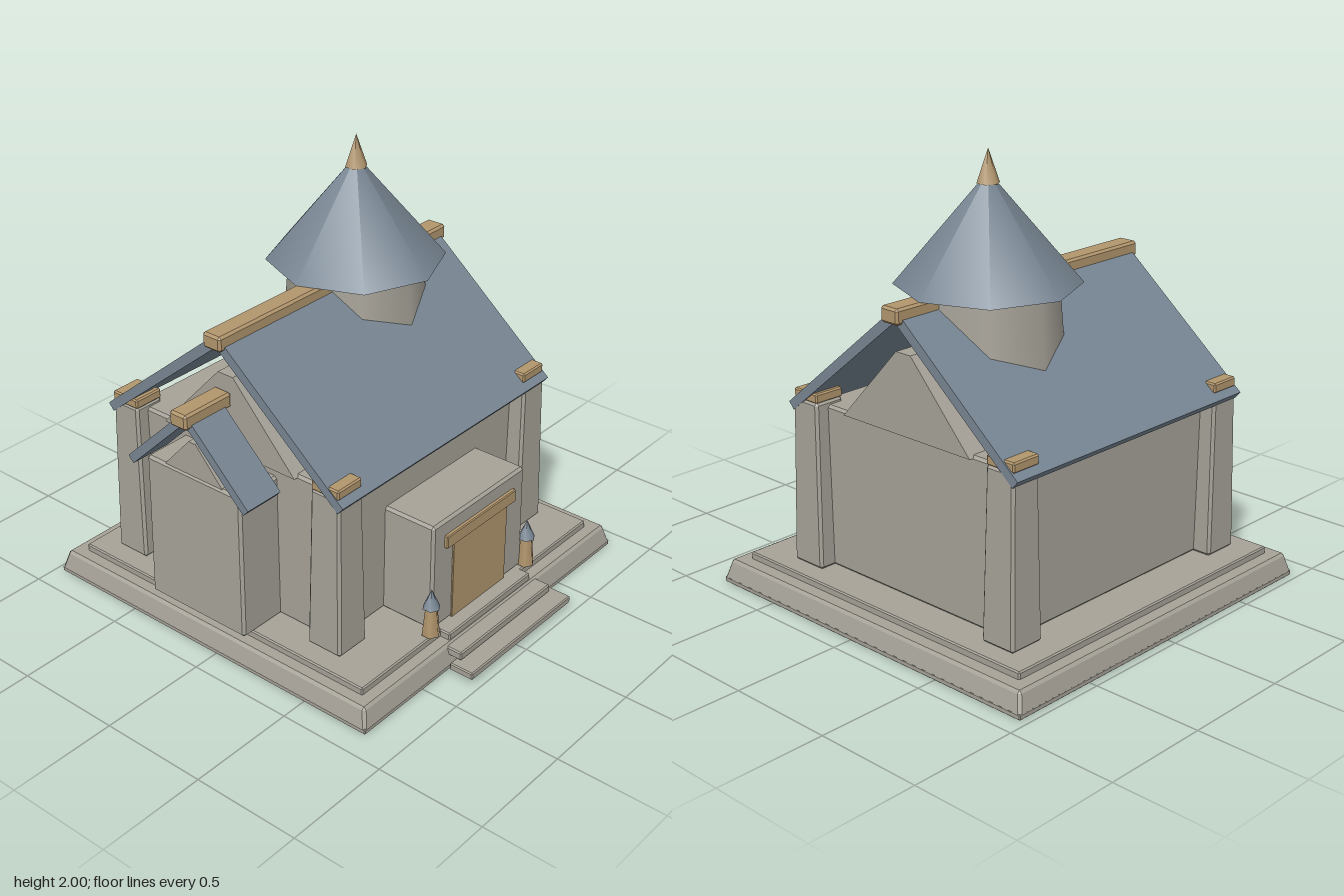
import * as THREE from 'three';
import { ConvexGeometry } from 'three/addons/geometries/ConvexGeometry.js';

const mat = (name, color) => Object.assign(new THREE.MeshStandardMaterial({ color }), { name });

export function createModel() {
  const stone = mat('stone', 0xa6a298);
  const timber = mat('timber', 0xb2966d);
  const slate = mat('slate', 0x778592);
  const model = new THREE.Group();
  model.name = 'chapel';

  const add = (name, geometry, material, x = 0, y = 0, z = 0) => {
    const mesh = new THREE.Mesh(geometry, material);
    mesh.name = name;
    mesh.position.set(x, y, z);
    model.add(mesh);
    return mesh;
  };

  // Chamfered block given by its limits; the top may be drawn in by a taper
  const block = (name, material, [x0, x1], [y0, y1], [z0, z1], taper = 0) => {
    const w = (x1 - x0) / 2, h = (y1 - y0) / 2, d = (z1 - z0) / 2;
    const c = Math.min(0.012, 0.3 * Math.min(w, h, d));
    const points = [];
    for (const sx of [-1, 1]) for (const sy of [-1, 1]) for (const sz of [-1, 1]) {
      for (const [a, b, e] of [[0, c, c], [c, 0, c], [c, c, 0]]) {
        const inset = sy > 0 ? taper : 0;
        points.push(new THREE.Vector3(sx * (w - inset - a), sy * (h - b), sz * (d - inset - e)));
      }
    }
    return add(name, new ConvexGeometry(points), material, (x0 + x1) / 2, (y0 + y1) / 2, (z0 + z1) / 2);
  };

  // Outline of [z, y] points extended along x
  const extrude = (name, material, outline, zMid, x0, x1) => {
    const shape = new THREE.Shape(outline.map(([z, y]) => new THREE.Vector2(z, y)));
    const g = new THREE.ExtrudeGeometry(shape, { depth: x1 - x0, bevelEnabled: false });
    g.rotateY(Math.PI / 2);
    return add(name, g, material, x0, 0, zMid);
  };

  // Blunt gable: half widths and heights of its base and top
  const gable = (name, [zb, yb], [zt, yt], zMid, x0, x1) =>
    extrude(name, stone, [[zb, yb], [zt, yt], [-zt, yt], [-zb, yb]], zMid, x0, x1);

  // Two roof slopes as one folded slab
  const roof = (name, { outer, inner, top, under }, zMid, x0, x1) =>
    extrude(name, slate, [
      outer, [0, top], [-outer[0], outer[1]],
      [-inner[0], inner[1]], [0, under], inner,
    ], zMid, x0, x1);

  // Plinth with sloping sides and an upper step
  block('plinthFoot', stone, [-0.88, 0.912], [0, 0.024], [-0.966, 0.828]);
  block('plinth', stone, [-0.88, 0.912], [0.012, 0.108], [-0.966, 0.828], 0.02);
  block('plinthStep', stone, [-0.797, 0.823], [0.1, 0.14], [-0.88, 0.745]);

  // Front steps
  block('lowerStep', stone, [-0.35, 0.377], [0.025, 0.06], [0.85, 0.968]);
  block('middleStep', stone, [-0.31, 0.343], [0.06, 0.1], [0.77, 0.88]);
  block('upperStep', stone, [-0.278, 0.31], [0.1, 0.14], [0.685, 0.793]);

  // Main hall with a gabled core under the roof
  block('hallWalls', stone, [-0.63, 0.66], [0.14, 0.88], [-0.68, 0.46]);
  gable('gable', [0.37, 0.87], [0.042, 1.225], -0.108, -0.65, 0.68);

  // Corner pillars with timber caps
  for (const [px, cx] of [[[-0.705, -0.53], [-0.692, -0.545]], [[0.562, 0.737], [0.572, 0.719]]]) {
    for (const [pz, cz] of [[[0.37, 0.548], [0.388, 0.532]], [[-0.766, -0.592], [-0.752, -0.605]]]) {
      block('cornerPillar', stone, px, [0.14, 0.9], pz, 0.013);
      block('pillarCap', timber, cx, [0.895, 0.94], cz);
    }
  }

  // Main roof and ridge beam
  roof('mainRoof', { outer: [0.668, 0.872], inner: [0.641, 0.84], top: 1.426, under: 1.367 },
    -0.11, -0.696, 0.726);
  block('ridgeBeam', timber, [-0.725, 0.757], [1.365, 1.435], [-0.158, -0.06]);

  // Side chapel
  block('sideChapel', stone, [-0.858, -0.6], [0.14, 0.83], [-0.392, 0.152], 0.005);
  gable('sideGable', [0.165, 0.825], [0.02, 0.985], -0.12, -0.845, -0.6);
  roof('sideRoof', { outer: [0.342, 0.815], inner: [0.315, 0.785], top: 1.146, under: 1.092 },
    -0.12, -0.885, -0.69);
  block('sideRidgeBeam', timber, [-0.92, -0.65], [1.085, 1.155], [-0.168, -0.075]);

  // Porch and door
  block('porch', stone, [-0.31, 0.34], [0.14, 0.652], [0.44, 0.72], 0.004);
  block('door', timber, [-0.175, 0.205], [0.14, 0.515], [0.717, 0.726]);
  block('doorLintel', timber, [-0.23, 0.256], [0.518, 0.58], [0.705, 0.734]);

  // Lantern posts beside the door
  for (const x of [-0.33, 0.358]) {
    add('lanternPost', new THREE.CylinderGeometry(0.027, 0.041, 0.14, 6), timber, x, 0.215, 0.732);
    add('lanternCap', new THREE.ConeGeometry(0.04, 0.09, 6), slate, x, 0.325, 0.732);
  }

  // Octagonal tower, spire and finial
  add('tower', new THREE.CylinderGeometry(0.295, 0.323, 0.34, 8), stone, 0.23, 1.27, -0.15);
  add('spire', new THREE.ConeGeometry(0.396, 0.468, 8), slate, 0.23, 1.669, -0.15);
  add('finial', new THREE.ConeGeometry(0.05, 0.145, 6), timber, 0.23, 1.9275, -0.15);

  return model;
}
